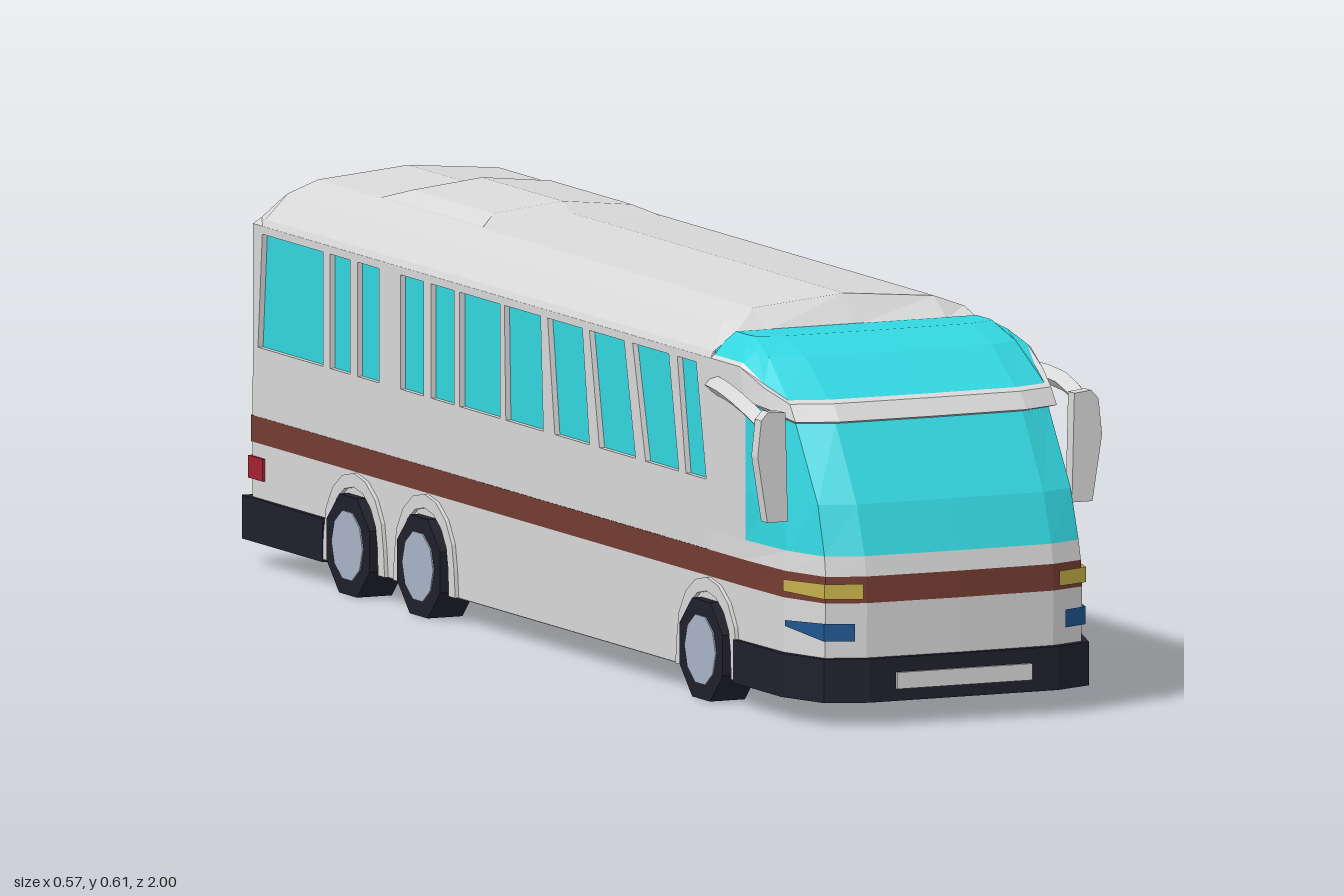
import * as THREE from 'three';

const mat = (name, color) =>
  new THREE.MeshStandardMaterial({ name, color, flatShading: true, side: THREE.DoubleSide });

export function createModel() {
  const bus = new THREE.Group();
  bus.name = 'coachBus';
  const M = {
    body: mat('body grey', 0xd8d8d8),
    glass: mat('window cyan', 0x33d6e0),
    stripe: mat('stripe brown', 0x743c32),
    dark: mat('bumper and tyre black', 0x20202c),
    hub: mat('hub blue grey', 0xa8b4c8),
    yellow: mat('headlight yellow', 0xc4b04a),
    blue: mat('lower lamp blue', 0x1f5590),
    red: mat('tail light red', 0xa3222f),
  };
  const add = (name, geo, key, x = 0, y = 0, z = 0) => {
    const m = new THREE.Mesh(geo, M[key]);
    m.name = name;
    m.position.set(x, y, z);
    bus.add(m);
    return m;
  };
  const box = (name, key, w, h, d, x, y, z) => add(name, new THREE.BoxGeometry(w, h, d), key, x, y, z);
  const shape = pts => new THREE.Shape(pts.map(p => new THREE.Vector2(...p)));
  const extrude = (s, depth) => new THREE.ExtrudeGeometry(s, { depth, bevelEnabled: false });

  // Skin between rows of points; pick(row, column) gives the colour or null
  const skin = (name, rows, pick) => {
    const buckets = {};
    for (let i = 0; i < rows.length - 1; i++)
      for (let j = 0; j < rows[i].length - 1; j++) {
        const key = pick(i, j);
        if (!key) continue;
        const a = rows[i][j], b = rows[i][j + 1], c = rows[i + 1][j + 1], d = rows[i + 1][j];
        (buckets[key] ??= []).push(...b, ...a, ...d, ...b, ...d, ...c);
      }
    for (const key in buckets) {
      const g = new THREE.BufferGeometry();
      g.setAttribute('position', new THREE.Float32BufferAttribute(buckets[key], 3));
      g.computeVertexNormals();
      add(name + '_' + key, g, key);
    }
  };
  const mirrorX = half => [...half, ...half.filter(p => p[0] > 0).reverse().map(p => [-p[0], ...p.slice(1)])];

  // Main shell: lower sides, stripe and arched roof
  const profile = mirrorX([[0.243, 0.04], [0.243, 0.185], [0.243, 0.225], [0.242, 0.515],
    [0.237, 0.525], [0.2, 0.562], [0.15, 0.58], [0, 0.593]]);
  const rearProfile = profile.map(([x, y]) => y > 0.52 ? [x * 0.96, 0.52 + (y - 0.52) * 0.75] : [x, y]);
  const at = (pts, z) => pts.map(([x, y]) => [x, y, z]);
  skin('shell', [
    at(profile.map(([x, y]) => [x, Math.min(y, 0.55)]), 0.62),
    at(profile, 0.575), at(profile, -0.935), at(rearProfile, -0.968),
  ], (i, j) => {
    const k = Math.min(j, 13 - j);
    return k === 2 ? null : k === 1 ? 'stripe' : 'body';
  });

  // Side walls with leaning window openings: [front, back] at the sill, then at the top
  const windows = [
    [0.605, 0.535, 0.57, 0.505], [0.51, 0.395, 0.475, 0.35], [0.36, 0.235, 0.32, 0.2],
    [0.2, 0.08, 0.175, 0.055], [0.04, -0.09, 0.03, -0.095], [-0.11, -0.25, -0.11, -0.25],
    [-0.27, -0.35, -0.27, -0.35], [-0.375, -0.455, -0.375, -0.455], [-0.53, -0.605, -0.53, -0.605],
    [-0.63, -0.7, -0.63, -0.7], [-0.725, -0.95, -0.725, -0.935],
  ];
  const wall = shape([[-0.968, 0.225], [0.62, 0.225], [0.62, 0.515], [-0.968, 0.515]]);
  for (const [f, b, tf, tb] of windows)
    wall.holes.push(shape([[f, 0.33], [b, 0.33], [tb, 0.503], [tf, 0.503]]));
  const wallGeo = extrude(wall, 0.015).rotateY(-Math.PI / 2);
  for (const s of [1, -1]) {
    add('sideWall', wallGeo, 'body', s > 0 ? 0.2425 : -0.2275);
    box('sideGlass', 'glass', 0.004, 0.2, 1.57, s * 0.232, 0.415, -0.172);
  }

  // Rear wall with its window, stripe and lights
  const rear = shape(rearProfile.map(([x, y]) => [x * 0.995, y]));
  rear.holes.push(shape([[-0.145, 0.32], [0.145, 0.32], [0.14, 0.5], [-0.14, 0.5]]));
  add('rearWall', extrude(rear, 0.02), 'body', 0, 0, -0.97);
  box('rearGlass', 'glass', 0.32, 0.2, 0.004, 0, 0.41, -0.957);
  box('rearStripe', 'stripe', 0.486, 0.04, 0.006, 0, 0.205, -0.97);
  for (const s of [1, -1]) box('tailLight', 'red', 0.06, 0.034, 0.05, s * 0.217, 0.147, -0.95);

  // Cab: half rings of [x, y, z] from the side round to the nose, stacked upwards
  const ring = (y, hw, zB, xC, zC, xD, zD, zE, yA = y, yC = y) => mirrorX([
    [hw, yA, 0.62], [hw, yA, zB], [xC, yC, zC], [xD, y, zD], [0.155, y, zE], [0, y, zE + 0.003]]);
  const cab = [
    ring(0.04, 0.243, 0.74, 0.24, 0.87, 0.213, 0.955, 0.978),
    ring(0.185, 0.243, 0.74, 0.24, 0.87, 0.213, 0.958, 0.98),
    ring(0.225, 0.243, 0.74, 0.238, 0.87, 0.212, 0.956, 0.978),
    ring(0.255, 0.242, 0.74, 0.234, 0.87, 0.211, 0.95, 0.972),
    ring(0.33, 0.242, 0.74, 0.231, 0.84, 0.21, 0.925, 0.945),
    ring(0.443, 0.242, 0.74, 0.228, 0.785, 0.21, 0.848, 0.872, 0.465, 0.455),
    ring(0.447, 0.243, 0.74, 0.233, 0.8, 0.217, 0.862, 0.886, 0.47, 0.46),
    ring(0.472, 0.242, 0.72, 0.232, 0.785, 0.217, 0.842, 0.865, 0.515, 0.49),
    ring(0.476, 0.236, 0.72, 0.225, 0.77, 0.213, 0.828, 0.848, 0.52, 0.494),
    ring(0.53, 0.218, 0.69, 0.21, 0.715, 0.205, 0.745, 0.765, 0.54, 0.535),
    ring(0.553, 0.2, 0.65, 0.2, 0.665, 0.197, 0.68, 0.695),
  ];
  skin('cab', cab, (i, j) => {
    if (i === 1) return 'stripe';
    if (i === 3 || i === 4) return j === 0 || j === 9 ? 'body' : 'glass';
    return i >= 8 ? 'glass' : 'body';
  });
  const top = shape(cab[10].map(([x, , z]) => [x, -z]));
  add('cabRoofGlass', new THREE.ShapeGeometry(top).rotateX(-Math.PI / 2), 'glass', 0, 0.553);

  // Raised roof unit
  const hump = mirrorX([[0.16, 0.573], [0.115, 0.595], [0, 0.607]]);
  const humpBase = mirrorX([[0.16, 0.57], [0.15, 0.579], [0, 0.592]]);
  skin('roofUnit', [at(humpBase, -0.365), at(hump, -0.4), at(hump, -0.68), at(humpBase, -0.725)], () => 'body');

  // Floor, bumpers and number plates, cut from plan outlines
  const plan = (name, half, y, h, key) =>
    add(name, extrude(shape(mirrorX(half).map(([x, z]) => [x, -z])), h).rotateX(-Math.PI / 2), key, 0, y);
  plan('floor', [[0.242, -0.965], [0.242, 0.86], [0.213, 0.95], [0.155, 0.975]], 0.039, 0.01, 'body');
  plan('frontBumper', [[0.249, 0.712], [0.249, 0.88], [0.22, 0.967], [0.157, 0.992]], 0.036, 0.066, 'dark');
  box('rearBumper', 'dark', 0.5, 0.066, 0.28, 0, 0.069, -0.85);
  box('frontPlate', 'body', 0.224, 0.025, 0.008, 0, 0.067, 0.993);
  box('rearPlate', 'body', 0.224, 0.025, 0.01, 0, 0.073, -0.994);

  // Head lamps wrapped round the nose corners
  const lamp = (name, key, pts, low, high) => {
    for (const s of [1, -1]) {
      const row = ys => pts.map(([x, z], i) => [s * x, ys[i], z]);
      skin(name, [row(low), row(high)], () => key);
    }
  };
  lamp('headlight', 'yellow', [[0.163, 0.985], [0.217, 0.963], [0.243, 0.873]],
    [0.192, 0.192, 0.195], [0.215, 0.215, 0.213]);
  lamp('lowerLamp', 'blue', [[0.175, 0.98], [0.217, 0.961], [0.243, 0.88]],
    [0.128, 0.128, 0.143], [0.155, 0.155, 0.152]);

  // Wheels and arches
  const tyre = new THREE.CylinderGeometry(0.081, 0.081, 0.058, 8).rotateY(Math.PI / 8).rotateZ(Math.PI / 2);
  const hub = new THREE.CylinderGeometry(0.054, 0.054, 0.008, 10).rotateZ(Math.PI / 2);
  const arc = r => Array.from({ length: 9 }, (_, i) =>
    [r * Math.cos(i * Math.PI / 8), r * Math.sin(i * Math.PI / 8)]);
  const arch = shape([[0.108, -0.04], ...arc(0.104), [-0.108, -0.04], [-0.085, -0.04],
    ...arc(0.083).reverse(), [0.085, -0.04]]);
  const archGeo = extrude(arch, 0.02).rotateY(-Math.PI / 2);
  for (const z of [0.62, -0.36, -0.605])
    for (const s of [1, -1]) {
      add('tyre', tyre, 'dark', s * 0.229, 0.075, z);
      add('wheelHub', hub, 'hub', s * 0.256, 0.075, z);
      add('wheelArch', archGeo, 'body', s > 0 ? 0.249 : -0.229, 0.08, z);
    }

  // Wing mirrors on arms reaching forward
  for (const s of [1, -1]) {
    const path = new THREE.CatmullRomCurve3([[0.236, 0.475, 0.62], [0.255, 0.477, 0.7],
      [0.268, 0.468, 0.79], [0.265, 0.445, 0.86]].map(([x, y, z]) => new THREE.Vector3(s * x, y, z)));
    add('mirrorArm', new THREE.TubeGeometry(path, 6, 0.015, 4), 'body');
    const head = shape([[0.236, 0.3], [0.27, 0.3], [0.286, 0.4], [0.28, 0.455], [0.268, 0.468], [0.24, 0.465]]
      .map(([x, y]) => [s * x, y]));
    add('mirrorHead', extrude(head, 0.022), 'body', 0, 0, 0.853);
    const face = shape([[0.242, 0.31], [0.266, 0.31], [0.278, 0.4], [0.272, 0.43], [0.242, 0.43]]
      .map(([x, y]) => [s * x, y]));
    add('mirrorGlass', extrude(face, 0.003), 'glass', 0, 0, 0.849);
  }
  return bus;
}
